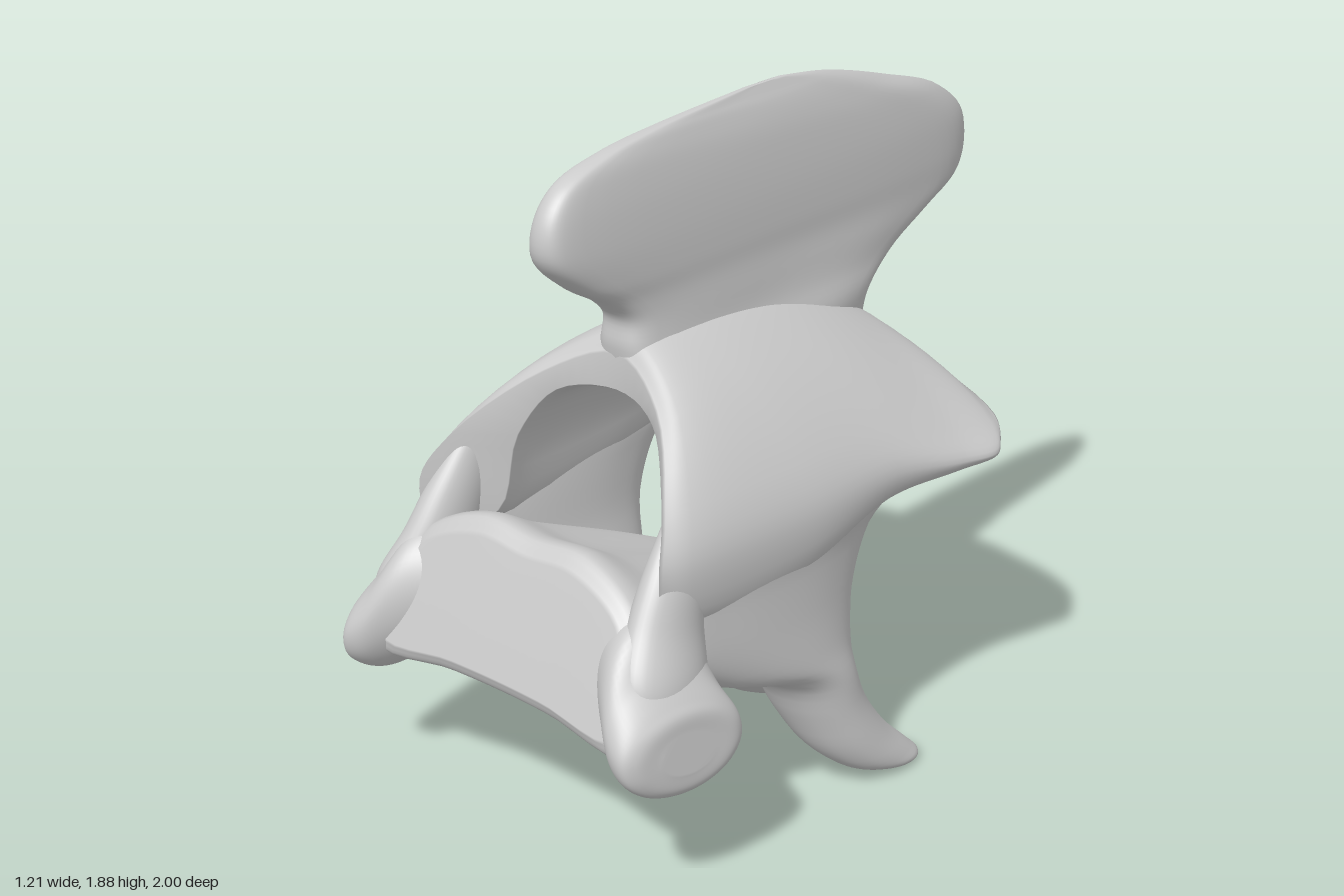
import * as THREE from 'three';

const material = new THREE.MeshStandardMaterial({ color: 0xcccccc });

// Smooth closed skin through rings of control points, capped at both ends.
function loft(name, rings, around = 64, along = 40) {
  const cols = rings.map((ring) => {
    const curve = new THREE.CatmullRomCurve3(ring.map((p) => new THREE.Vector3(...p)), true, 'centripetal');
    return Array.from({ length: around }, (_, j) => curve.getPoint(j / around));
  });
  const lines = cols[0].map((_, j) => new THREE.CatmullRomCurve3(cols.map((c) => c[j]), false, 'centripetal'));
  const pos = [], idx = [];
  for (let i = 0; i <= along; i++) {
    for (const line of lines) pos.push(...line.getPoint(i / along).toArray());
  }
  const at = (i, j) => i * around + ((j + around) % around);
  for (let i = 0; i < along; i++) {
    for (let j = 0; j < around; j++) {
      idx.push(at(i, j), at(i, j + 1), at(i + 1, j), at(i, j + 1), at(i + 1, j + 1), at(i + 1, j));
    }
  }
  // end caps: strips joining the first side of the ring (outer or upper) to the second
  const half = around / 2;
  for (const i of [0, along]) {
    for (let j = -around / 4; j < around / 4; j++) {
      const a = at(i, j), b = at(i, j + 1), c = at(i, half - j), d = at(i, half - j - 1);
      if (i) idx.push(a, b, c, b, d, c);
      else idx.push(a, c, b, b, c, d);
    }
  }
  // turn the faces outward by the sign of the enclosed volume
  const corner = (k) => new THREE.Vector3().fromArray(pos, k * 3);
  let volume = 0;
  for (let k = 0; k < idx.length; k += 3) {
    volume += corner(idx[k]).dot(corner(idx[k + 1]).cross(corner(idx[k + 2])));
  }
  if (volume < 0) idx.reverse();
  const geometry = new THREE.BufferGeometry();
  geometry.setAttribute('position', new THREE.Float32BufferAttribute(pos, 3));
  geometry.setIndex(idx);
  geometry.computeVertexNormals();
  const mesh = new THREE.Mesh(geometry, material);
  mesh.name = name;
  return mesh;
}

// Complete a half ring that starts and ends on the middle plane.
const mirror = (half) => [...half, ...half.slice(1, -1).reverse().map(([x, y, z]) => [-x, y, z])];

// Elliptical ring around centre c spanned by the vectors u and v.
const oval = (c, u, v) => Array.from({ length: 12 }, (_, k) => {
  const a = (k / 12) * Math.PI * 2;
  return c.map((q, n) => q + u[n] * Math.cos(a) + v[n] * Math.sin(a));
});

// Tall blade: height, front z, back z, half thickness
function spine() {
  const levels = [
    [1.1, 0, -0.49, 0.1], [1.2, 0.43, -0.53, 0.12], [1.29, 0.465, -0.66, 0.097], [1.37, 0.465, -0.84, 0.086],
    [1.43, 0.52, -0.965, 0.08], [1.5, 0.63, -0.995, 0.08], [1.6, 0.73, -0.98, 0.075], [1.7, 0.725, -0.86, 0.063],
    [1.78, 0.66, -0.63, 0.047], [1.83, 0.5, -0.46, 0.03], [1.855, 0.3, -0.35, 0.017], [1.876, -0.03, -0.2, 0.006],
  ];
  // thickness along the blade from front to back
  const plan = [[0, 0], [0.01, 0.6], [0.05, 0.92], [0.45, 1], [0.8, 0.95], [0.95, 0.65], [1, 0]];
  return loft('spine', levels.map(([y, front, back, w]) =>
    mirror(plan.map(([t, u]) => [w * u, y, front + (back - front) * t]))), 64, 56);
}

// Vaulted roof over the canal:
// crown z, side z, outer crown y, inner crown y, foot y, half width, hollow of the slope, rear lobe
function arch() {
  const stations = [
    [0.46, 0.77, 1.27, 1.17, 0.74, 0.44, 1, 0], [0.42, 0.68, 1.32, 1.15, 0.71, 0.47, 1, 0],
    [0.25, 0.25, 1.34, 1.13, 0.72, 0.5, 1.1, 0], [-0.1, -0.1, 1.3, 1.06, 0.81, 0.505, 1.4, 0],
    [-0.35, -0.33, 1.22, 0.96, 0.82, 0.55, 1.8, 0.02], [-0.48, -0.46, 1.13, 0.9, 0.825, 0.57, 1.9, 0.07],
    [-0.52, -0.51, 1.05, 0.9, 0.845, 0.54, 1.8, 0.08],
  ];
  // outside from crown to foot, then back up the inside
  const outer = [[0, 1], [0.46, 0.84], [0.88, 0.5], [1, 0.27], [0.95, 0]];
  const inner = [[0.7, 0.08], [0.6, 0.6], [0.4, 0.92], [0, 1]];
  return loft('arch', stations.map(([zc, zs, yo, yi, foot, w, hollow, lobe]) => {
    const place = (crown) => ([u, v]) => [
      w * u, foot + (crown - foot) * v ** hollow, zc + (zs - zc) * u * u - lobe * Math.sin(Math.PI * u * u)];
    return mirror([...outer.map(place(yo)), ...inner.map(place(yi))]);
  }), 80, 48);
}

// Central body, from the broad sloping front face to the ball at the back:
// top z, bottom z, top y, bottom y, half width, squareness of the lower corner
function body() {
  const stations = [
    [0.82, 0.935, 0.81, 0.5, 0.41, 1.05], [0.765, 0.91, 0.85, 0.455, 0.45, 1.05],
    [0.6, 0.66, 0.77, 0.445, 0.43, 0.95], [0.28, 0.28, 0.63, 0.28, 0.38, 0.8],
    [0.02, 0.02, 0.51, 0.11, 0.3, 0.8], [-0.12, -0.12, 0.46, 0.08, 0.28, 0.8],
    [-0.2, -0.2, 0.42, 0.115, 0.23, 0.8], [-0.23, -0.23, 0.37, 0.165, 0.16, 0.8],
    [-0.242, -0.242, 0.3, 0.23, 0.06, 0.8],
  ];
  return loft('body', stations.map(([zt, zb, top, bottom, w, q]) => mirror(
    [[0, 1], [0.42, 1.02], [0.85, 0.8], [1, 0.45], [q, 1 - q], [0.42, 0.2 * (1 - q)], [0, 0]]
      .map(([u, v]) => [w * u, bottom + (top - bottom) * v, zb + (zt - zb) * v]))));
}

// Side wall running down into the slanted process: y, centre x, half x, front z, back z
function sideProcess(s) {
  const levels = [
    [0.93, 0.4, 0.05, 0.5, -0.1], [0.84, 0.415, 0.08, 0.68, -0.22], [0.74, 0.405, 0.085, 0.73, -0.1],
    [0.6, 0.4, 0.1, 0.7, -0.03], [0.47, 0.39, 0.125, 0.55, -0.01], [0.37, 0.385, 0.14, 0.3, 0],
    [0.25, 0.4, 0.135, 0.23, -0.03], [0.13, 0.435, 0.12, 0.16, -0.1], [0.05, 0.48, 0.088, 0.07, -0.17],
    [0.015, 0.49, 0.075, -0.02, -0.2], [0, 0.49, 0.045, -0.08, -0.19],
  ];
  return loft('sideProcess', levels.map(([y, x, rx, front, back]) =>
    oval([s * x, y, (front + back) / 2], [rx, 0, 0], [0, 0, (front - back) / 2])));
}

// Front knob with a flattened face turned outward and forward: x, y, z, half height, half depth
function frontKnob(s) {
  const stations = [
    [0.3, 0.62, 0.74, 0.13, 0.1], [0.42, 0.57, 0.79, 0.19, 0.15], [0.5, 0.49, 0.81, 0.16, 0.18],
    [0.555, 0.455, 0.81, 0.125, 0.185], [0.575, 0.45, 0.81, 0.1, 0.155], [0.58, 0.45, 0.81, 0.05, 0.08],
  ];
  return loft('frontKnob', stations.map(([x, y, z, ry, rz]) =>
    oval([s * x, y, z], [0, ry, -0.03], [s * -0.18 * rz, 0.02, rz])));
}

// Strut from the roof down to the front knob: x, y, z, half width, half depth
function frontStrut(s) {
  const stations = [
    [0.38, 0.96, 0.6, 0.04, 0.07], [0.4, 0.83, 0.67, 0.065, 0.1], [0.415, 0.72, 0.72, 0.075, 0.12],
    [0.45, 0.6, 0.77, 0.085, 0.14], [0.48, 0.5, 0.8, 0.06, 0.11],
  ];
  return loft('frontStrut', stations.map(([x, y, z, rx, rz]) =>
    oval([s * x, y, z], [rx, 0, 0], [0, 0.03, rz])), 40, 24);
}

export function createModel() {
  const model = new THREE.Group();
  model.name = 'vertebra';
  model.add(spine(), arch(), body());
  for (const s of [1, -1]) {
    const side = new THREE.Group();
    side.name = s > 0 ? 'leftSide' : 'rightSide';
    side.add(sideProcess(s), frontKnob(s), frontStrut(s));
    model.add(side);
  }
  return model;
}
